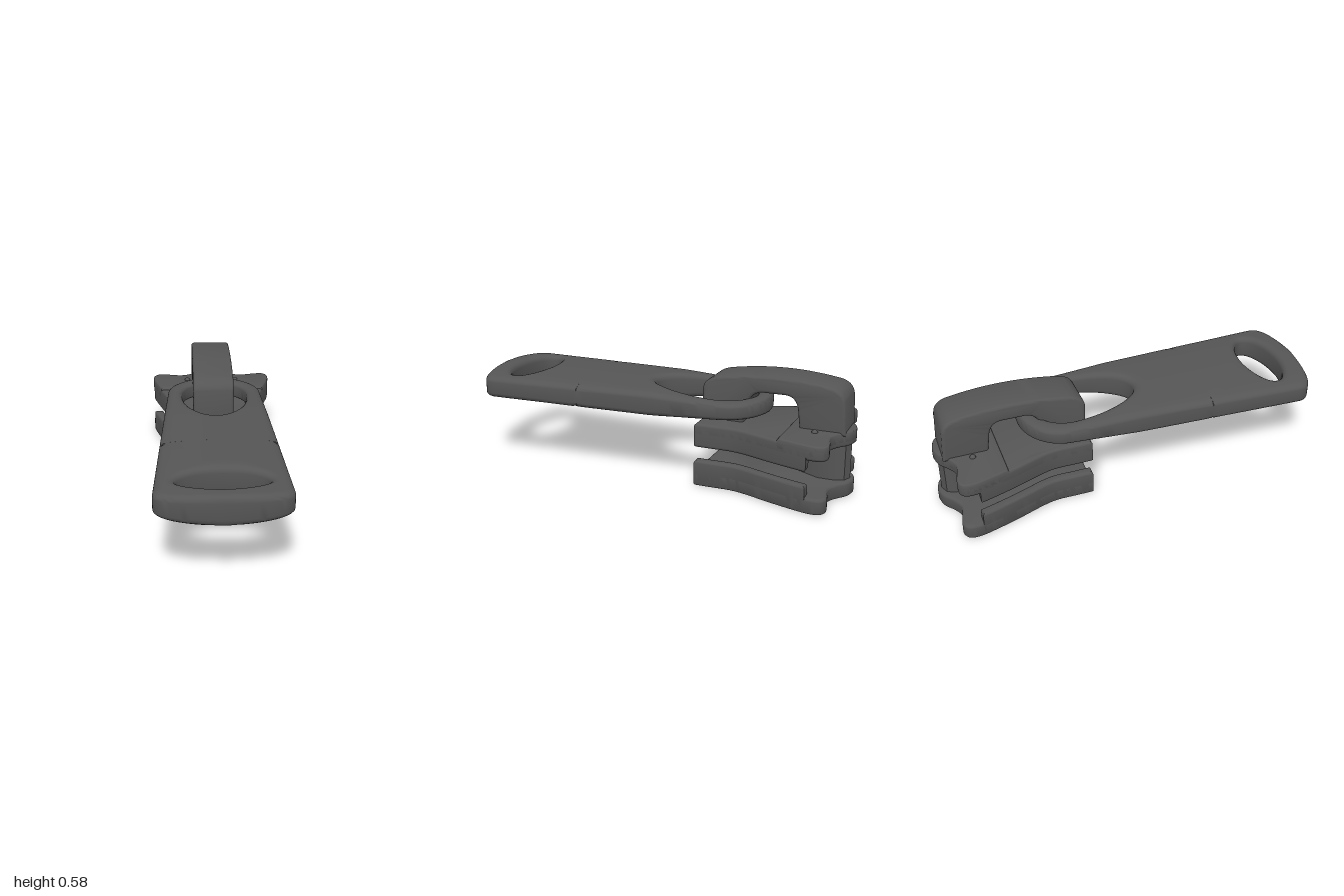
import * as THREE from 'three';
import { toCreasedNormals } from 'three/addons/utils/BufferGeometryUtils.js';

const material = new THREE.MeshStandardMaterial({ color: 0x555555 });
const v2 = (p) => new THREE.Vector2(p[0], p[1]);

function add(group, name, geometry, crease = 0.6) {
  const mesh = new THREE.Mesh(toCreasedNormals(geometry, crease), material);
  mesh.name = name;
  group.add(mesh);
  return mesh;
}

function extrude(shape, height, bevel) {
  return new THREE.ExtrudeGeometry(shape, {
    depth: height - 2 * bevel, curveSegments: 12, bevelEnabled: bevel > 0,
    bevelThickness: bevel, bevelSize: bevel, bevelOffset: -bevel, bevelSegments: 4,
  });
}

// Flat piece drawn in (x, z), from height y0 to y1
function slab(group, name, points, y0, y1, bevel) {
  const geo = extrude(new THREE.Shape(points), y1 - y0, bevel);
  add(group, name, geo.rotateX(Math.PI / 2).translate(0, y1 - bevel, 0));
}

// Pull tab: half width along z, and half thickness of the lens section
const SEAM = 0.4;
function halfWidth(z) {
  if (z <= -0.56 || z >= 1) return 0;
  if (z < -0.35) return 0.254 * Math.sqrt(1 - ((-0.35 - z) / 0.21) ** 2);
  const w = 0.254 + (z + 0.35) * 0.048;
  return z < 0.88 ? w : w * Math.sqrt(1 - ((z - 0.88) / 0.12) ** 3);
}
function halfThickness(x, z, holeDistance) {
  const slope = (halfWidth(z + 0.002) - halfWidth(z - 0.002)) / 0.004;
  const rim = (halfWidth(z) - Math.abs(x)) / Math.hypot(1, slope);
  const d = Math.min(Math.max(0, Math.min(rim, holeDistance)) / 0.04, 1);
  const round = 0.55 + 0.45 * Math.sqrt(1 - (1 - d) ** 2);
  return (0.073 - 0.19 * x * x - 0.05 * Math.max(0, -z)) * round;
}

// One end of the tab: a ring of sections from the hole out to the outline
function tabEnd(cz, rx, rFront, rBack, inZone, seamSign) {
  const angles = [];
  for (let i = 0; i < 112; i++) angles.push((i / 112) * Math.PI * 2 - Math.PI);
  const rSeam = seamSign > 0 ? rFront : rBack;
  for (const s of [-1, 1]) {
    angles.push(Math.atan2((SEAM - cz) / rSeam, (s * halfWidth(SEAM)) / rx));
  }
  angles.sort((a, b) => a - b);

  const position = [], index = [];
  let count = 0;
  for (const a of angles) {
    const hx = rx * Math.cos(a);
    const hz = Math.sin(a) * (Math.sin(a) > 0 ? rFront : rBack);
    const r = Math.hypot(hx, hz), dx = hx / r, dz = hz / r;
    let lo = r, hi = 2;
    for (let k = 0; k < 40; k++) {
      const m = (lo + hi) / 2, z = cz + dz * m;
      if (inZone(z) && Math.abs(dx * m) <= halfWidth(z)) lo = m; else hi = m;
    }
    const length = lo - r, n = Math.min(0.04, length * 0.45);
    const inset = [0, 0.06 * n, 0.25 * n, 0.55 * n, n];
    const steps = [...inset];
    for (let k = 1; k < 8; k++) steps.push(n + ((length - 2 * n) * k) / 8);
    for (const s of inset.reverse()) steps.push(length - s);
    const top = steps.map((s) => {
      const x = dx * (r + s), z = cz + dz * (r + s);
      return [x, halfThickness(x, z, s), z];
    });
    for (const [x, h, z] of top) position.push(x, 0.417 + h, z);
    for (const [x, h, z] of top.reverse()) position.push(x, 0.417 - h, z);
    count = steps.length * 2;
  }
  for (let i = 0; i < angles.length; i++) {
    const p = i * count, q = ((i + 1) % angles.length) * count;
    for (let j = 0; j < count; j++) {
      const k = (j + 1) % count;
      index.push(p + j, q + j, p + k, p + k, q + j, q + k);
    }
  }
  const geo = new THREE.BufferGeometry();
  geo.setAttribute('position', new THREE.Float32BufferAttribute(position, 3));
  geo.setIndex(index);
  return geo;
}

export function createModel() {
  const model = new THREE.Group();
  model.name = 'zipperSlider';

  // Body outline: waisted sides and a wavy back edge
  const side = new THREE.SplineCurve([
    [0.22, -0.23], [0.22, -0.32], [0.22, -0.42], [0.237, -0.5], [0.287, -0.64], [0.325, -0.76],
    [0.348, -0.85], [0.345, -0.91], [0.31, -0.936], [0.26, -0.93], [0.18, -0.915],
    [0.12, -0.94], [0.06, -0.985], [0, -1],
  ].map(v2)).getPoints(60);
  const mirror = (pts) => pts.map((p) => new THREE.Vector2(-p.x, p.y)).reverse();
  const outline = [...side, ...mirror(side.slice(0, -1))];
  const back = side.filter((p) => p.y < -0.66);

  const body = new THREE.Group();
  body.name = 'body';
  model.add(body);
  slab(body, 'lowerPlate', outline, 0.003, 0.083, 0.015);
  slab(body, 'upperPlate', outline, 0.27, 0.335, 0.015);
  slab(body, 'raisedBack', [...back, ...mirror(back.slice(0, -1))], 0.285, 0.345, 0.012);

  // Guide flanges follow the sides of both plates
  const outer = side.filter((p) => p.y > -0.84);
  const inner = outer.map((p) => new THREE.Vector2(p.x - 0.052, p.y)).reverse();
  const strip = [...outer, ...inner];
  for (const [label, pts] of [['left', strip], ['right', mirror(strip)]]) {
    slab(body, label + 'LowerFlange', pts, 0.003, 0.14, 0.015);
    slab(body, label + 'UpperFlange', pts, 0.21, 0.335, 0.015);
  }

  // Wedge post joining the plates
  const post = [[0, -0.71], [0.064, -0.83], [0.064, -0.92], [0.045, -0.96], [0, -0.98]].map(v2);
  slab(body, 'wedgePost', [...post, ...mirror(post.slice(1, -1))], 0.07, 0.29, 0);

  // Small bumps beside the bail
  for (const s of [-1, 1]) {
    const bump = add(body, 'bump', new THREE.SphereGeometry(0.016, 16, 10));
    bump.position.set(s * 0.145, 0.343, -0.825);
  }

  // Arched bail, drawn in (z, y)
  const arch = new THREE.Shape();
  arch.moveTo(-0.23, 0.325);
  arch.lineTo(-0.228, 0.49);
  arch.quadraticCurveTo(-0.235, 0.54, -0.31, 0.557);
  arch.quadraticCurveTo(-0.6, 0.61, -0.88, 0.562);
  arch.quadraticCurveTo(-0.95, 0.55, -0.957, 0.49);
  arch.lineTo(-0.966, 0.325);
  arch.lineTo(-0.738, 0.325);
  arch.lineTo(-0.725, 0.43);
  arch.quadraticCurveTo(-0.715, 0.497, -0.66, 0.498);
  arch.lineTo(-0.54, 0.498);
  arch.quadraticCurveTo(-0.48, 0.49, -0.467, 0.43);
  arch.lineTo(-0.445, 0.325);
  add(model, 'bail', extrude(arch, 0.222, 0.016).rotateY(-Math.PI / 2).translate(0.09, 0, 0));

  // Pull tab in two ends, each around its own hole
  const pull = new THREE.Group();
  pull.name = 'pullTab';
  model.add(pull);
  add(pull, 'tabRingEnd', tabEnd(-0.3, 0.178, 0.365, 0.185, (z) => z <= SEAM, 1), 0.9);
  add(pull, 'tabGripEnd', tabEnd(0.8, 0.213, 0.096, 0.096, (z) => z >= SEAM, -1), 0.9);

  return model;
}
